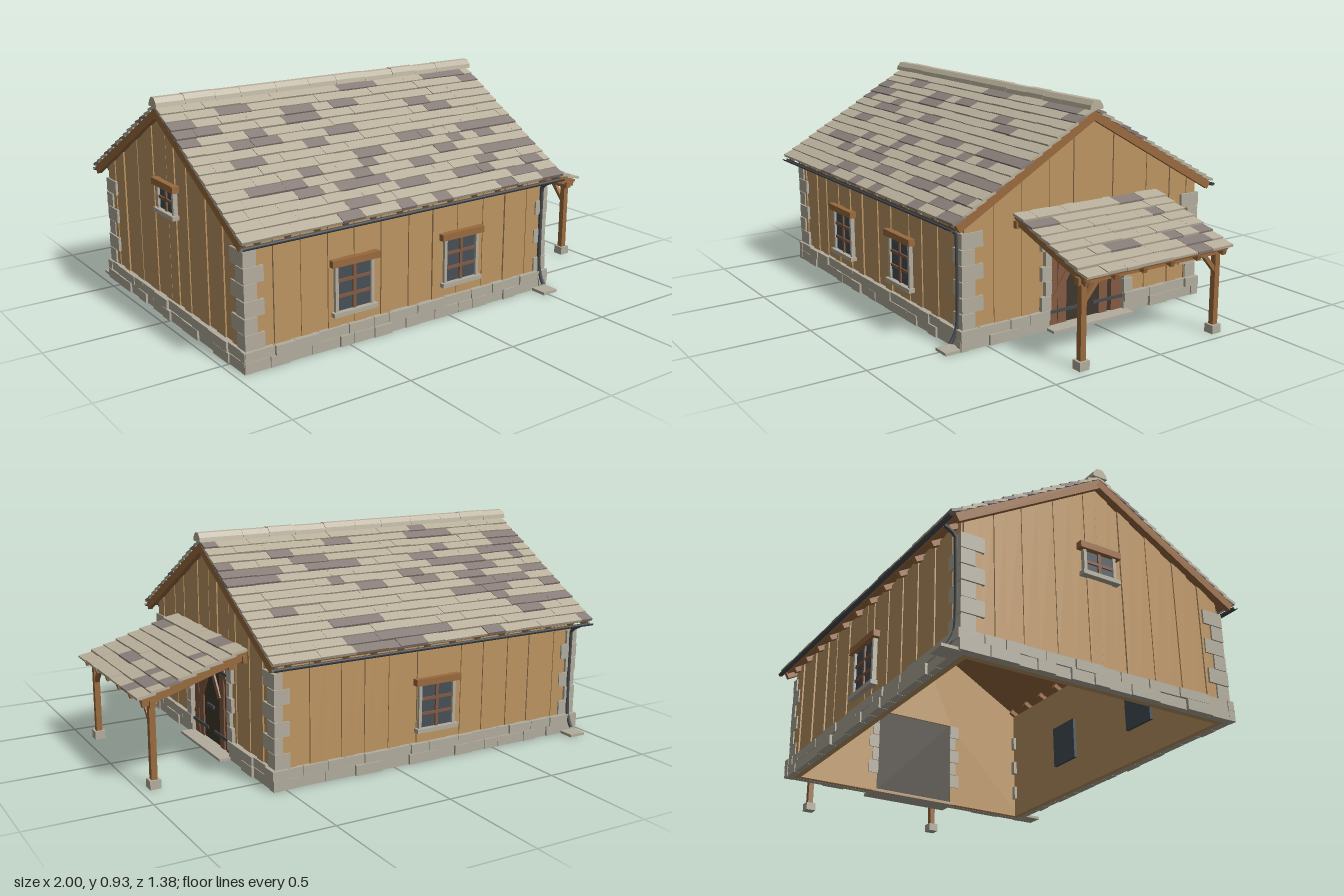
import * as THREE from 'three';
import { mergeGeometries } from 'three/addons/utils/BufferGeometryUtils.js';

const mat = (name, color, side = THREE.FrontSide) =>
  Object.assign(new THREE.MeshStandardMaterial({ color, side }), { name });

// small seeded random generator
function makeRandom(seed) {
  return () => {
    seed = (seed * 1664525 + 1013904223) % 4294967296;
    return seed / 4294967296;
  };
}

function box(w, h, d, x, y, z, rx = 0, rz = 0) {
  return new THREE.BoxGeometry(w, h, d).rotateX(rx).rotateZ(rz).translate(x, y, z);
}

// flat bar between two points of the xy plane
function bar(x0, y0, x1, y1, w, d, z) {
  const dx = x1 - x0, dy = y1 - y0;
  return box(Math.hypot(dx, dy), w, d, (x0 + x1) / 2, (y0 + y1) / 2, z, 0, Math.atan2(dy, dx));
}

// random widths that fill the span from a to b
function split(a, b, min, max, rnd, fn) {
  for (let p = a, i = 0; p < b - 0.001; i++) {
    let w = min + rnd() * (max - min);
    if (b - p - w < min * 0.6) w = b - p;
    fn(p + w / 2, w, i);
    p += w;
  }
}

export function createModel() {
  const rnd = makeRandom(11);
  const M = {
    wall: mat('wall boards', 0xbd9562),
    timber: mat('timber', 0x996a3e),
    slate: mat('pale slate', 0xb9b09c),
    slateDark: mat('dark slate', 0x897e79),
    stone: mat('stone', 0xb3ad9e),
    door: mat('door planks', 0x835a42),
    dark: mat('dark doorway', 0x3f372d),
    iron: mat('iron', 0x474c50, THREE.DoubleSide),
    glass: mat('window glass', 0x465057),
  };
  const model = new THREE.Group();
  model.name = 'stoneAndTimberBarn';
  const part = (name, material, geoms, parent = model) => {
    const mesh = new THREE.Mesh(mergeGeometries(geoms), material);
    mesh.name = name;
    parent.add(mesh);
  };
  const group = (name, x, y, z, ry = 0, parent = model) => {
    const g = new THREE.Group();
    g.name = name;
    g.position.set(x, y, z);
    g.rotation.y = ry;
    parent.add(g);
    return g;
  };

  const CX = -0.205, HX = 0.735, HZ = 0.595, SLOPE = 0.573, DOOR_W = 0.195, DOOR_H = 0.4;
  const wallTop = (z) => 0.865 - SLOPE * Math.abs(z);

  // each wall is built facing local +z with its outer face at local z = 0
  const sides = [
    { g: group('frontWall', CX, 0, HZ), half: HX },
    { g: group('backWall', CX, 0, -HZ, Math.PI), half: HX },
    { g: group('doorGable', CX + HX, 0, 0, Math.PI / 2), half: HZ, gable: true, door: true },
    { g: group('rearGable', CX - HX, 0, 0, -Math.PI / 2), half: HZ, gable: true },
  ];
  for (const { g, half, gable, door } of sides) {
    const top = gable ? wallTop : () => wallTop(HZ);
    // wall shell
    const s = new THREE.Shape();
    s.moveTo(-half, 0.002);
    s.lineTo(half, 0.002);
    s.lineTo(half, top(half));
    if (gable) s.lineTo(0, top(0));
    s.lineTo(-half, top(half));
    if (door) {
      const h = new THREE.Path();
      h.moveTo(-DOOR_W, 0.01).lineTo(-DOOR_W, DOOR_H).lineTo(DOOR_W, DOOR_H).lineTo(DOOR_W, 0.01);
      s.holes.push(h);
    }
    const shell = new THREE.ExtrudeGeometry(s, { depth: 0.03, bevelEnabled: false });
    part('wallShell', M.wall, [shell.translate(0, 0, -0.03)], g);

    // vertical boards, alternately proud, their tops cut to the roof line
    const boards = [];
    const addBoard = (x, w, i) => {
      const y0 = door && Math.abs(x) < DOOR_W + 0.02 ? DOOR_H : 0.06;
      const d = (i % 2 ? 0.004 : 0.009) + rnd() * 0.003;
      const b = box(w - 0.0005, 1, d, x, 0, d / 2), p = b.attributes.position;
      for (let k = 0; k < p.count; k++) p.setY(k, p.getY(k) > 0 ? top(p.getX(k)) - 0.001 : y0);
      boards.push(b);
    };
    const cuts = door ? [-half, -DOOR_W, 0, DOOR_W, half] : [-half, 0, half];
    for (let c = 0; c + 1 < cuts.length; c++) split(cuts[c], cuts[c + 1], 0.045, 0.08, rnd, addBoard);
    part('wallBoards', M.wall, boards, g);

    // two rough courses of plinth stones
    const stones = [], end = half + 0.028;
    const runs = door ? [[-end, -DOOR_W], [DOOR_W, end]] : [[-end, end]];
    for (const [a, b] of runs) {
      for (const [y, h] of [[0.023, 0.044], [0.065, 0.04]]) {
        split(a, b, 0.06, 0.15, rnd, (x, w) => {
          const d = 0.026 + rnd() * 0.012;
          stones.push(box(w - 0.002, h - 0.001, d, x, y, d / 2 - 0.006));
        });
      }
    }
    part('plinthStones', M.stone, stones, g);
  }

  // corner stones, long side alternating
  const quoins = [];
  for (const sx of [-1, 1]) for (const sz of [-1, 1]) {
    for (let i = 0; i < 6; i++) {
      const lx = (i % 2 ? 0.055 : 0.085) - (sx > 0 ? 0.018 : 0), lz = i % 2 ? 0.098 : 0.06, j = rnd() * 0.004;
      quoins.push(box(lx, 0.061, lz, CX + sx * (HX + 0.015 + j - lx / 2), 0.117 + i * 0.0645, sz * (HZ + 0.014 + j - lz / 2)));
    }
  }
  part('cornerStones', M.stone, quoins);

  // windows
  function addWindow(parent, x, y, w, h, rows) {
    const g = group('window', x, y, 0, 0, parent);
    part('windowGlass', M.glass, [box(w, h, 0.058, 0, 0, -0.015)], g);
    const bars = [box(0.013, h, 0.008, 0, 0, 0.017)];
    for (let r = 1; r < rows; r++) bars.push(box(w, 0.012, 0.007, 0, h * (r / rows - 0.5), 0.017));
    part('glazingBars', M.door, bars, g);
    part('windowSurround', M.stone, [
      box(w + 0.045, 0.018, 0.04, 0, -h / 2 - 0.006, 0.015),
      ...[-1, 1].map((s) => box(0.014, h, 0.028, s * (w / 2 + 0.004), 0, 0.01)),
    ], g);
    part('windowLintel', M.timber, [box(w + 0.06, 0.028, 0.04, 0, h / 2 + 0.012, 0.015)], g);
  }
  addWindow(sides[0].g, -0.475 - CX, 0.24, 0.16, 0.19, 3);
  addWindow(sides[0].g, 0.06 - CX, 0.24, 0.16, 0.19, 3);
  addWindow(sides[1].g, 0, 0.24, 0.16, 0.19, 3);
  addWindow(sides[3].g, 0, 0.515, 0.13, 0.1, 2);

  // double door with braces, hinges, latch, stone jambs and lintel
  const dg = group('doubleDoor', 0, 0, 0, 0, sides[2].g);
  part('doorBack', M.dark, [box(2 * DOOR_W, DOOR_H, 0.02, 0, DOOR_H / 2 + 0.005, -0.012)], dg);
  part('doorPlanks', M.door, [
    box(0.045, 0.39, 0.008, -0.17, 0.205, 0.002),
    box(0.043, 0.39, 0.008, -0.122, 0.205, 0.001),
    box(0.044, 0.39, 0.008, 0.094, 0.205, 0.001),
    box(0.056, 0.39, 0.008, 0.165, 0.205, 0.002),
    bar(-0.18, 0.1, -0.005, 0.37, 0.026, 0.008, 0.007),
    bar(0.005, 0.34, 0.08, 0.23, 0.026, 0.008, 0.007),
    bar(0.12, 0.37, 0.18, 0.27, 0.026, 0.008, 0.007),
  ], dg);
  const straps = [box(0.07, 0.014, 0.008, 0, 0.18, 0.014)], jambs = [];
  for (const s of [-1, 1]) {
    straps.push(box(0.16, 0.013, 0.006, s * 0.112, 0.072, 0.013), box(0.16, 0.012, 0.006, s * 0.112, 0.355, 0.013));
    for (let i = 0; i < 5; i++) {
      const w = i % 2 ? 0.03 : 0.048;
      jambs.push(box(w, 0.06, 0.06, s * (DOOR_W + w / 2 - 0.004), 0.117 + i * 0.063, -0.004));
    }
  }
  part('doorIronwork', M.iron, straps, dg);
  part('doorJambStones', M.stone, jambs, dg);
  part('doorLintel', M.timber, [box(0.5, 0.042, 0.05, 0, 0.422, 0.012)], dg);
  part('doorstep', M.stone, [box(0.42, 0.012, 0.1, 0, 0.007, 0.02)], dg);

  // slate slope: local z runs down the slope, local y points out of it
  function addSlope(name, parent, width, length, rows, angle, y, z) {
    const g = group(name, 0, y, z, 0, parent);
    g.rotation.x = angle;
    const pale = [], dark = [], step = length / rows;
    for (let r = 0; r < rows; r++) {
      split(-width / 2, width / 2, 0.06, 0.17, rnd, (x, w) => {
        const t = 0.009 + rnd() * 0.004;
        const tile = box(w - 0.0005, t, step * 1.3, x, 0.009 + t / 3, (r + 0.42) * step + rnd() * 0.003, -0.13);
        (rnd() < 0.25 ? dark : pale).push(tile);
      });
    }
    part('paleSlates', M.slate, pale, g);
    part('darkSlates', M.slateDark, dark, g);
    part('roofBoarding', M.timber, [box(width - 0.01, 0.012, length - 0.01, 0, -0.002, length / 2 - 0.005)], g);
    return g;
  }

  // main roof with barge boards, rafter tails and gutters
  const roof = group('mainRoof', CX, 0, 0);
  const ANGLE = Math.atan(SLOPE), W = 1.57, L = 0.755;
  for (const s of [0, 1]) {
    const half = group('roofHalf', 0, 0, 0, s * Math.PI, roof);
    const g = addSlope('slateSlope', half, W, L, 15, ANGLE, 0.885, 0);
    part('bargeBoards', M.timber, [-1, 1].map((e) => box(0.02, 0.034, L - 0.005, e * (W / 2 - 0.012), -0.013, L / 2 - 0.0025)), g);
    const tails = [];
    for (let i = 0; i < 12; i++) tails.push(box(0.022, 0.024, 0.1, -0.7 + i * 0.1273, -0.018, L - 0.065));
    part('rafterTails', M.timber, tails, g);
    const gutter = new THREE.CylinderGeometry(0.011, 0.011, W, 8, 1, true, 0, Math.PI);
    part('gutter', M.iron, [gutter.rotateZ(-Math.PI / 2).translate(0, 0.506, 0.668)], half);

    // downpipe with shoe and splash stone
    const px = 0.718;
    const path = new THREE.CatmullRomCurve3([[0.66, 0.497], [0.635, 0.485], [0.613, 0.465], [0.611, 0.43],
      [0.611, 0.15], [0.616, 0.09], [0.632, 0.05], [0.645, 0.03]].map(([z, y]) => new THREE.Vector3(px, y, z)));
    part('downpipe', M.iron, [new THREE.TubeGeometry(path, 24, 0.008, 8)], half);
    part('splashStone', M.stone, [box(0.075, 0.012, 0.075, px, 0.006, 0.652)], half);
  }

  // ridge stones
  const cap = new THREE.Shape([[-0.034, 0.897], [0.034, 0.897], [0.03, 0.915], [0.014, 0.934], [-0.014, 0.934], [-0.03, 0.915]]
    .map(([x, y]) => new THREE.Vector2(x, y)));
  const ridge = [];
  split(-W / 2 - 0.005, W / 2 + 0.01, 0.11, 0.17, rnd, (x, w) => {
    const c = new THREE.ExtrudeGeometry(cap, { depth: w - 0.001, bevelEnabled: false });
    ridge.push(c.translate(0, rnd() * 0.003 - 0.002, -w / 2).rotateY(Math.PI / 2).translate(x, 0, 0));
  });
  part('ridgeStones', M.slate, ridge, roof);

  // porch: local z points away from the door gable
  const porch = group('porch', 0, 0, 0, Math.PI / 2);
  const PA = Math.atan(0.14 / 0.45);
  const ps = addSlope('porchSlope', porch, 0.735, 0.473, 8, PA, 0.5, 0.54);
  const rafters = [];
  for (let i = 0; i < 6; i++) rafters.push(box(0.02, 0.022, 0.46, -0.345 + i * 0.138, -0.019, 0.235));
  part('porchRafters', M.timber, rafters, ps);
  const frame = [box(0.73, 0.028, 0.026, 0, 0.346, 0.938), box(0.73, 0.03, 0.025, 0, 0.47, 0.545)];
  const feet = [];
  for (const s of [-1, 1]) {
    frame.push(box(0.025, 0.31, 0.025, s * 0.338, 0.19, 0.938));
    frame.push(bar(s * 0.335, 0.26, s * 0.268, 0.338, 0.017, 0.018, 0.938));
    feet.push(box(0.046, 0.036, 0.046, s * 0.338, 0.018, 0.938));
  }
  part('porchFrame', M.timber, frame, porch);
  part('porchFootings', M.stone, feet, porch);
  return model;
}
